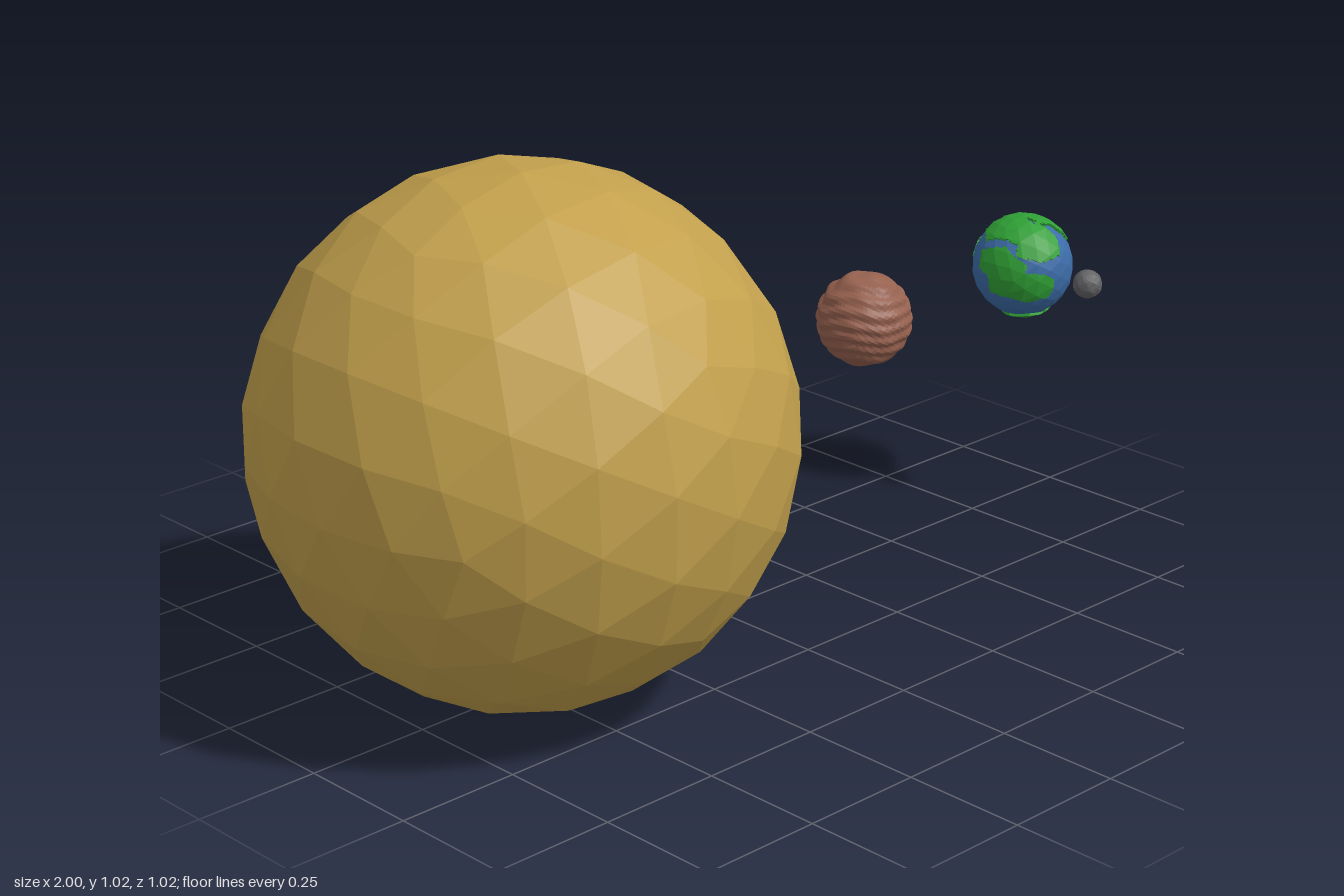
import * as THREE from 'three';
import { mergeVertices } from 'three/addons/utils/BufferGeometryUtils.js';

const mat = (color) => new THREE.MeshStandardMaterial({ color, flatShading: true, roughness: 0.9 });

// Faceted ball whose corners are moved in or out by a rule of direction
function ball(radius, detail, rule = () => 1) {
  const geo = new THREE.IcosahedronGeometry(1, detail);
  const pos = geo.attributes.position;
  const v = new THREE.Vector3();
  for (let i = 0; i < pos.count; i++) {
    v.fromBufferAttribute(pos, i).normalize();
    v.multiplyScalar(radius * rule(v));
    pos.setXYZ(i, v.x, v.y, v.z);
  }
  geo.computeVertexNormals();
  return geo;
}

// Distance to the faceted surface of a convex ball along a direction
function facetRadius(geo) {
  const p = geo.attributes.position;
  const planes = [];
  for (let i = 0; i < p.count; i += 3) {
    const [a, b, c] = [0, 1, 2].map((k) => new THREE.Vector3().fromBufferAttribute(p, i + k));
    planes.push(new THREE.Plane().setFromCoplanarPoints(a, b, c));
  }
  return (d) => {
    let r = Infinity;
    for (const pl of planes) {
      const n = pl.normal.dot(d);
      if (n > 0.1) r = Math.min(r, -pl.constant / n);
    }
    return r;
  };
}

// Coastlines, each drawn on a plane facing one side of the unit ball
const LANDS = [
  { map: (d) => [d.x, -d.z, d.y], // across the north
    pts: [[-.75, .3], [-.45, .55], [-.1, .4], [.3, .55], [.8, .35], [.9, -.1], [.7, -.5], [.35, -.55],
      [.12, -.1], [-.08, -.12], [-.2, -.6], [-.62, -.55], [-.7, -.1]] },
  { map: (d) => [-d.z, d.y, d.x], // long tapering land on the left side
    pts: [[-.34, 1], [.28, 1], [.6, .9], [.5, .8], [.68, .62], [.42, .48], [.28, .42], [.27, -.5],
      [.08, -.42], [-.28, -.2], [-.25, .45], [-.58, .52], [-.48, .8]] },
  { map: (d) => [d.x, d.y, d.z], // upper front
    pts: [[-.75, .45], [-.55, .85], [0, .95], [.12, .7], [0, .42], [-.4, .35]] },
  { map: (d) => [d.x, d.y, d.z], // lower front
    pts: [[-1, .15], [-.55, .15], [-.2, .02], [-.25, -.35], [-.6, -.45], [-1, -.3]] },
  { map: (d) => [d.z, d.y, -d.x], // right side
    pts: [[-.3, .45], [.2, .6], [.7, .3], [.6, -.3], [.25, -.35], [.1, 0], [-.25, .1]] },
  { map: (d) => [-d.x, d.y, -d.z], // back
    pts: [[-.3, .3], [-.05, .45], [.3, .4], [.42, .1], [.3, -.25], [-.05, -.35], [-.3, -.15]] },
  { map: (d) => [d.x, d.z, -d.y], // southern cap
    pts: [[-.45, .1], [-.3, .45], [.15, .5], [.5, .35], [.45, -.1], [.1, -.35], [-.3, -.25]] },
];

function inside([x, y], pts) {
  let hit = false;
  for (let i = 0, j = pts.length - 1; i < pts.length; j = i++) {
    const [xi, yi] = pts[i], [xj, yj] = pts[j];
    if ((yi > y) !== (yj > y) && x < ((xj - xi) * (y - yi)) / (yj - yi) + xi) hit = !hit;
  }
  return hit;
}

function isLand(d) {
  return LANDS.some(({ map, pts }) => {
    const [u, v, depth] = map(d);
    return depth > 0 && inside([u, v], pts);
  });
}

// Raised plates with coastal walls, following the facets of the sea
function landGeometry(sea) {
  const reach = facetRadius(sea);
  let grid = new THREE.IcosahedronGeometry(1, 19);
  grid.deleteAttribute('normal');
  grid.deleteAttribute('uv');
  grid = mergeVertices(grid, 1e-4);
  const dirs = [];
  for (let i = 0; i < grid.attributes.position.count; i++) {
    dirs.push(new THREE.Vector3().fromBufferAttribute(grid.attributes.position, i).normalize());
  }
  const low = dirs.map((d) => d.clone().multiplyScalar(reach(d) * 0.98));
  const high = dirs.map((d) => d.clone().multiplyScalar(reach(d) * 1.05));
  const out = [];
  const add = (...vs) => vs.forEach((v) => out.push(v.x, v.y, v.z));
  const edges = new Map();
  const idx = grid.index.array;
  const mid = new THREE.Vector3();
  for (let i = 0; i < idx.length; i += 3) {
    const f = [idx[i], idx[i + 1], idx[i + 2]];
    mid.set(0, 0, 0);
    f.forEach((k) => mid.add(dirs[k]));
    if (!isLand(mid.normalize())) continue;
    add(...f.map((k) => high[k]));
    f.forEach((a, k) => edges.set(`${a},${f[(k + 1) % 3]}`, [a, f[(k + 1) % 3]]));
  }
  for (const [a, b] of edges.values()) {
    if (edges.has(`${b},${a}`)) continue;
    add(low[a], low[b], high[b], low[a], high[b], high[a]);
  }
  const geo = new THREE.BufferGeometry();
  geo.setAttribute('position', new THREE.Float32BufferAttribute(out, 3));
  geo.computeVertexNormals();
  return geo;
}

export function createModel() {
  const group = new THREE.Group();
  const place = (name, geo, color, x, z = 0) => {
    const mesh = new THREE.Mesh(geo, mat(color));
    mesh.name = name;
    mesh.position.set(x, 0.512, z);
    group.add(mesh);
    return mesh;
  };

  // Large low-poly star
  const sun = place('sun', ball(0.511, 3), 0xc2a04c, -0.493);
  sun.rotation.set(0.06, 0.1, 0.04);

  // Rocky planet with wavy, roughly level ridges
  const ridges = (d) => {
    const wave = d.y * 24 + 1.6 * Math.sin(3 * d.x + 2 * d.z) + Math.sin(5 * d.z - 4 * d.x);
    return 1 + 0.022 * Math.sin(wave) + 0.012 * Math.sin(9 * d.x + 7 * d.y) * Math.sin(8 * d.z);
  };
  place('rockyPlanet', ball(0.095, 13, ridges), 0x96614f, 0.408);

  // Sea planet and its land plates
  const sea = ball(0.105, 3);
  place('sea', sea, 0x3c6ca8, 0.887);
  place('land', landGeometry(sea), 0x2fa035, 0.887);

  // Small pitted moon
  const pits = (d) => 1 + 0.05 * Math.sin(7 * d.x + 2) * Math.sin(6 * d.y + 1) * Math.cos(7 * d.z);
  place('moon', ball(0.03, 4, pits), 0x636366, 0.89, 0.173);

  return group;
}
